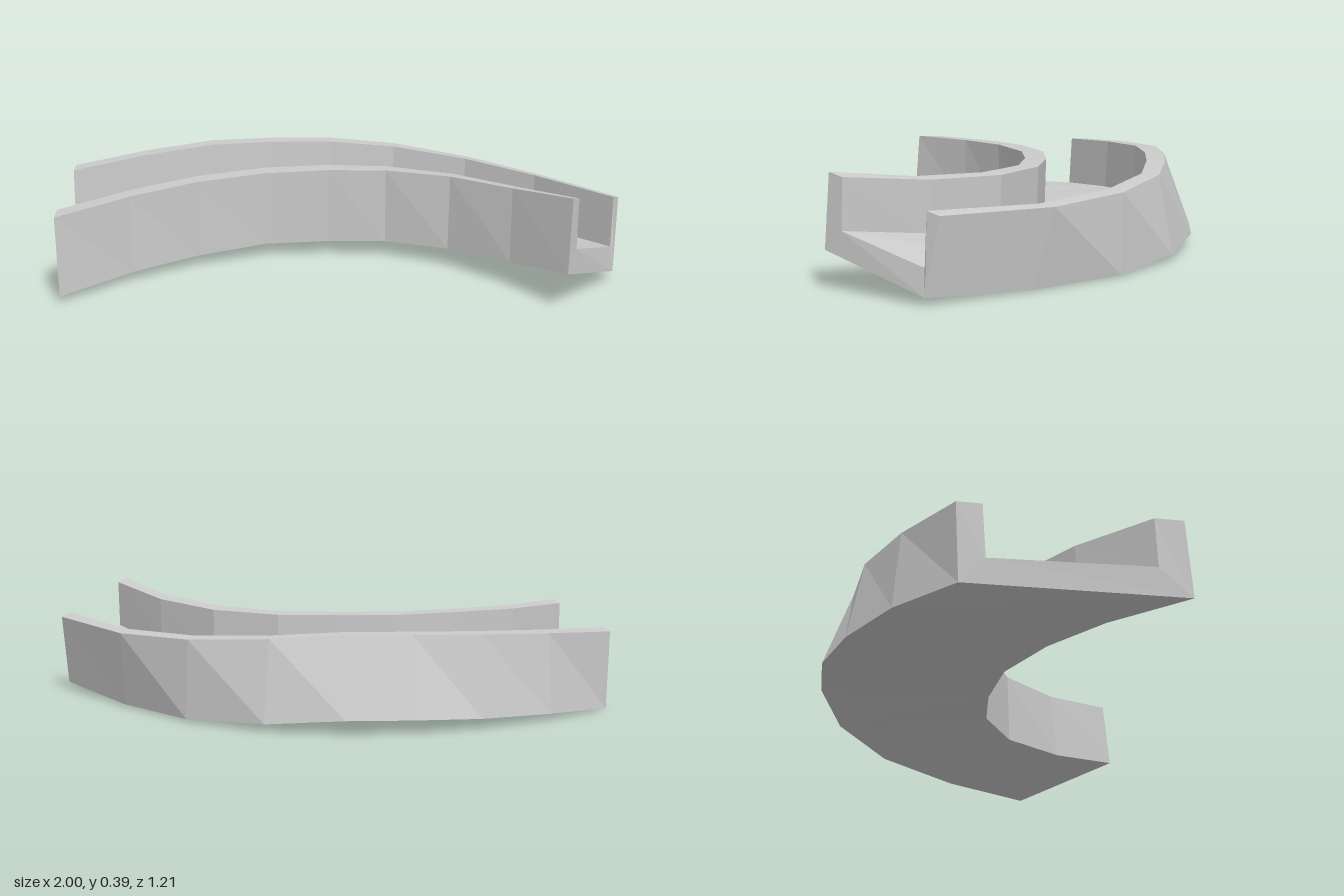
import * as THREE from 'three';

// Four rails of the banked curve, nine stations each: [x, y, z]
const outerBottom = [[-0.995, 0.003, -0.2], [-0.76, 0.025, -0.39], [-0.5, 0.04, -0.53],
  [-0.26, 0.053, -0.605], [-0.03, 0.053, -0.605], [0.24, 0.028, -0.53],
  [0.51, 0.01, -0.35], [0.745, 0.006, -0.07], [0.985, 0.03, 0.25]];
const outerTop = [[-1, 0.285, -0.21], [-0.75, 0.305, -0.365], [-0.5, 0.32, -0.475],
  [-0.26, 0.325, -0.505], [-0.03, 0.325, -0.505], [0.22, 0.31, -0.48],
  [0.5, 0.29, -0.355], [0.75, 0.28, -0.14], [1, 0.29, 0.2]];
const innerTop = [[-0.935, 0.3, 0.53], [-0.715, 0.31, 0.305], [-0.5, 0.32, 0.15],
  [-0.26, 0.325, 0.04], [-0.03, 0.33, 0.01], [0.18, 0.333, 0.02],
  [0.41, 0.34, 0.125], [0.615, 0.355, 0.33], [0.79, 0.392, 0.58]];
const innerBottom = [[-0.925, 0.027, 0.55], [-0.71, 0.035, 0.31], [-0.5, 0.042, 0.145],
  [-0.26, 0.052, 0.03], [-0.03, 0.055, 0], [0.18, 0.06, 0.015],
  [0.405, 0.07, 0.13], [0.61, 0.095, 0.35], [0.78, 0.137, 0.6]];

// U-shaped section at one station, with the rims narrowing along the curve
function section(i) {
  const [ob, ot, it, ib] = [outerBottom, outerTop, innerTop, innerBottom]
    .map((rail) => new THREE.Vector3(...rail[i]));
  const t = i / (outerTop.length - 1);
  const across = it.clone().sub(ot).normalize();
  const outerLip = ot.clone().addScaledVector(across, THREE.MathUtils.lerp(0.085, 0.05, t));
  const innerLip = it.clone().addScaledVector(across, -THREE.MathUtils.lerp(0.1, 0.055, t));
  const outerFloor = outerLip.clone().addScaledVector(across, 0.01);
  outerFloor.y = ob.y + 0.092;
  const innerFloor = innerLip.clone().addScaledVector(across, 0.006);
  innerFloor.y = ib.y + THREE.MathUtils.lerp(0.095, 0.068, t);
  return [ob, ot, outerLip, outerFloor, innerFloor, innerLip, it, ib];
}

function channelGeometry() {
  const rings = outerTop.map((_, i) => section(i));
  const positions = [];
  const quad = (a, b, c, d) => {
    for (const p of [a, b, c, a, c, d]) positions.push(p.x, p.y, p.z);
  };
  // Long faces between neighbouring sections
  for (let i = 0; i < rings.length - 1; i++) {
    const r = rings[i], s = rings[i + 1];
    for (let k = 0; k < r.length; k++) {
      const n = (k + 1) % r.length;
      quad(r[k], r[n], s[n], s[k]);
    }
  }
  // End caps: outer wall, floor slab, inner wall
  const first = rings[0], last = rings[rings.length - 1];
  for (const [a, b, c, d] of [[0, 1, 2, 3], [0, 3, 4, 7], [4, 5, 6, 7]]) {
    quad(last[a], last[b], last[c], last[d]);
    quad(first[d], first[c], first[b], first[a]);
  }
  const geometry = new THREE.BufferGeometry();
  geometry.setAttribute('position', new THREE.Float32BufferAttribute(positions, 3));
  geometry.computeVertexNormals();
  return geometry;
}

export function createModel() {
  const group = new THREE.Group();
  group.name = 'curvedTrack';
  const material = new THREE.MeshStandardMaterial({ color: 0xcccccc, flatShading: true });
  const channel = new THREE.Mesh(channelGeometry(), material);
  channel.name = 'curvedChannel';
  group.add(channel);
  return group;
}
